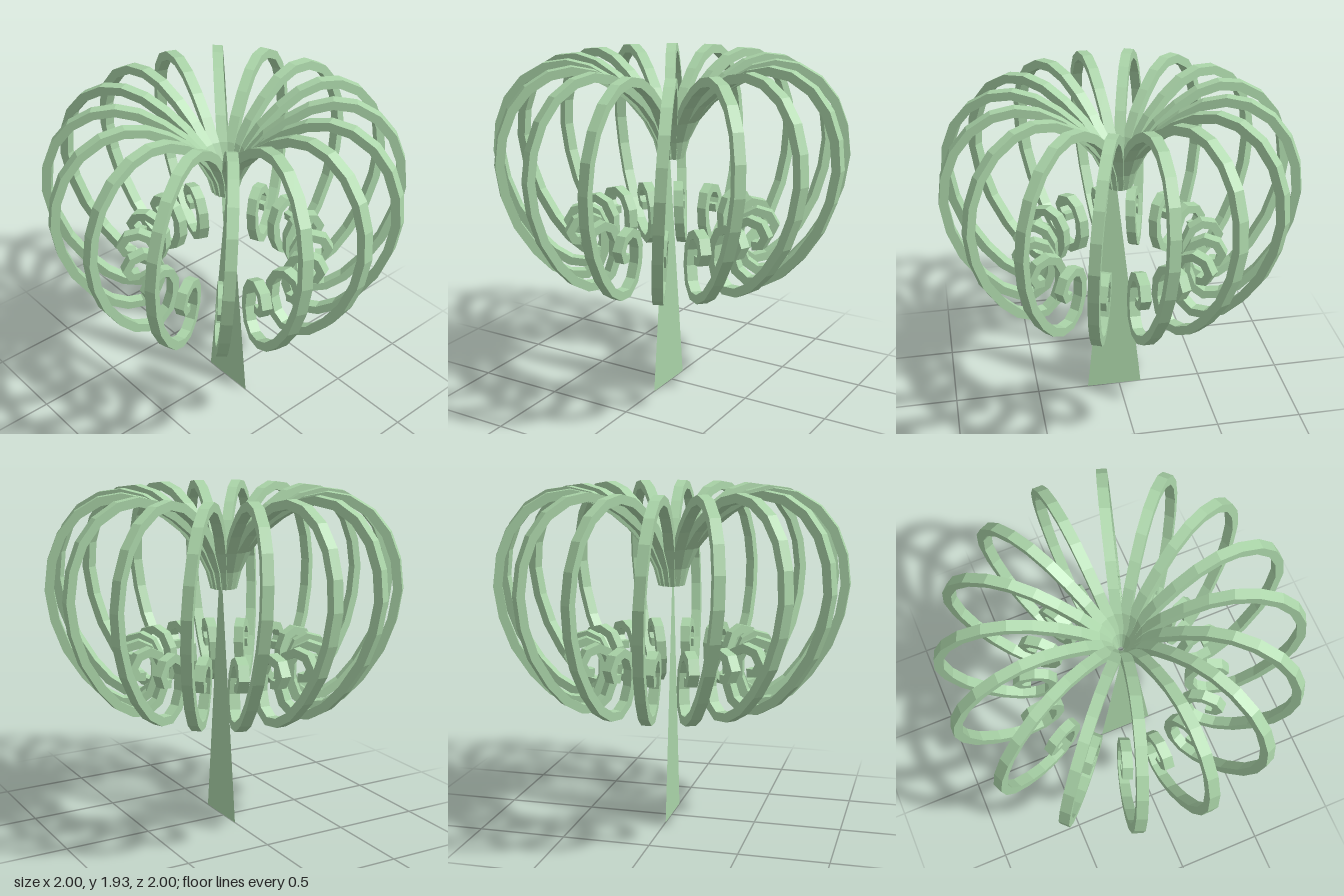
import * as THREE from 'three';

const COUNT = 16, THICK = 0.05, WIDTH = 0.058;

// Centre line of one curling frond: [distance from axis, height]
const SPIRAL = [
  [0.043, 1.38], [0.07, 1.49], [0.13, 1.61], [0.22, 1.72], [0.33, 1.81], [0.45, 1.88],
  [0.57, 1.908], [0.69, 1.89], [0.81, 1.82], [0.9, 1.71], [0.955, 1.57], [0.975, 1.41],
  [0.95, 1.24], [0.89, 1.07], [0.79, 0.91], [0.69, 0.8], [0.59, 0.74], [0.5, 0.73],
  [0.43, 0.78], [0.395, 0.87], [0.395, 0.97], [0.43, 1.045], [0.49, 1.075],
  [0.56, 1.055], [0.595, 0.995], [0.57, 0.945], [0.52, 0.94],
];

// Flat ribbon outline around the centre line, extruded and leaned sideways
function frondGeometry() {
  const pts = SPIRAL.map(([x, y]) => new THREE.Vector2(x, y));
  const outer = [], inner = [];
  pts.forEach((p, i) => {
    const t = pts[Math.min(i + 1, pts.length - 1)].clone().sub(pts[Math.max(i - 1, 0)]).normalize();
    if (i === 0) t.set(0, 1);
    const n = new THREE.Vector2(-t.y, t.x).multiplyScalar(THICK / 2);
    outer.push(p.clone().add(n));
    inner.push(p.clone().sub(n));
  });
  const geo = new THREE.ExtrudeGeometry(new THREE.Shape([...outer, ...inner.reverse()]), {
    depth: WIDTH, bevelEnabled: false,
  });
  geo.translate(0, 0, -WIDTH / 2);
  const pos = geo.attributes.position;
  for (let i = 0; i < pos.count; i++) {
    const lean = 0.09 * pos.getX(i) + 0.055 * (pos.getY(i) - 1.38);
    pos.setZ(i, pos.getZ(i) - lean);
  }
  geo.computeVertexNormals();
  return geo;
}

export function createModel() {
  const group = new THREE.Group();
  group.name = 'curledPlant';
  const green = new THREE.MeshStandardMaterial({ color: 0xaad4a8, flatShading: true });

  // Ring of curling fronds
  const fronds = new THREE.Group();
  fronds.name = 'fronds';
  const geo = frondGeometry();
  for (let i = 0; i < COUNT; i++) {
    const frond = new THREE.Mesh(geo, green);
    frond.name = 'frond' + (i + 1);
    frond.rotation.y = (i / COUNT) * Math.PI * 2;
    fronds.add(frond);
  }
  group.add(fronds);

  // Thin flat tapering stem
  const stemShape = new THREE.Shape([[-0.135, 0], [0.195, 0], [0.055, 1.39], [0.015, 1.39]]
    .map(([x, y]) => new THREE.Vector2(x, y)));
  const stemMaterial = green.clone();
  stemMaterial.side = THREE.DoubleSide;
  const stem = new THREE.Mesh(new THREE.ShapeGeometry(stemShape), stemMaterial);
  stem.name = 'stem';
  group.add(stem);

  return group;
}
